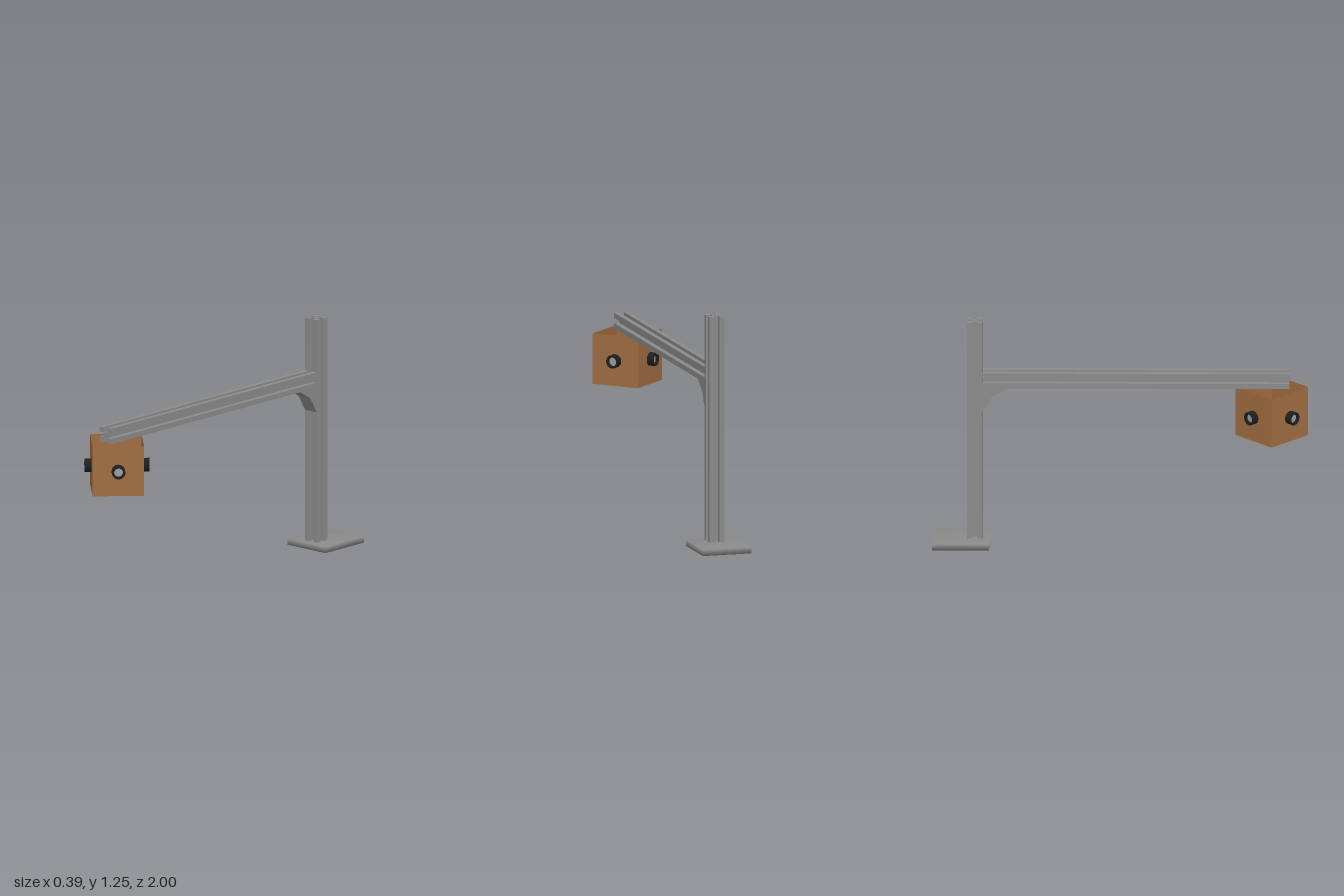
import * as THREE from 'three';
import { mergeVertices } from 'three/addons/utils/BufferGeometryUtils.js';

export function createModel() {
  const model = new THREE.Group();
  model.name = 'cameraStand';
  const material = (name, color, side = THREE.FrontSide) => {
    const m = new THREE.MeshStandardMaterial({ color, side });
    m.name = name;
    return m;
  };
  const metal = material('metal grey', 0x8a8a8a);
  const wood = material('wood brown', 0xa06d42, THREE.DoubleSide);
  const black = material('lens black', 0x1e1e1e);
  const glass = material('glass grey', 0x999c9e, THREE.DoubleSide);

  const add = (parent, name, geometry, mat, x = 0, y = 0, z = 0) => {
    const mesh = new THREE.Mesh(geometry, mat);
    mesh.name = name;
    mesh.position.set(x, y, z);
    parent.add(mesh);
    return mesh;
  };

  // Slotted rail along y: a core bar touching four corner bars
  const W = 0.084, cell = W / 3;
  const slottedRail = (name, length) => {
    const rail = new THREE.Group();
    rail.name = name;
    const bar = new THREE.BoxGeometry(cell, length, cell);
    add(rail, 'coreBar', bar, metal);
    for (const sx of [-1, 1]) {
      for (const sz of [-1, 1]) add(rail, 'cornerBar', bar, metal, sx * cell, 0, sz * cell);
    }
    model.add(rail);
    return rail;
  };

  // Base plate with softly shaded corners
  let plate = new THREE.BoxGeometry(0.27, 0.034, 0.305);
  plate.deleteAttribute('normal');
  plate.deleteAttribute('uv');
  plate = mergeVertices(plate);
  plate.computeVertexNormals();
  add(model, 'basePlate', plate, metal, 0, 0.017, -0.8475);

  // Upright post and horizontal arm
  slottedRail('post', 1.221).position.set(0, 0.6445, -0.772);
  const arm = slottedRail('arm', 1.63);
  arm.rotation.x = Math.PI / 2;
  arm.position.set(0, 0.927, 0.085);

  // Corner brace under the arm, drawn as (z, y) and turned sideways
  const braceShape = new THREE.Shape([
    [-0.73, 0.885], [-0.73, 0.75], [-0.68, 0.835], [-0.6, 0.885],
  ].map(([z, y]) => new THREE.Vector2(-z, y)));
  const braceGeometry = new THREE.ExtrudeGeometry(braceShape, { depth: W, bevelEnabled: false });
  braceGeometry.translate(0, 0, -W / 2);
  braceGeometry.rotateY(Math.PI / 2);
  add(model, 'cornerBrace', braceGeometry, metal);

  // Open box of four thin walls, each holding a lens tube
  const box = new THREE.Group();
  box.name = 'lensBox';
  box.position.set(-0.002, 0.746, 0.807);
  model.add(box);
  const side = 0.273, tubeRadius = 0.036, boreRadius = 0.024, half = 0.036;
  const wallShape = new THREE.Shape([
    new THREE.Vector2(-side / 2, -side / 2), new THREE.Vector2(side / 2, -side / 2),
    new THREE.Vector2(side / 2, side / 2), new THREE.Vector2(-side / 2, side / 2),
  ]);
  wallShape.holes.push(new THREE.Path().absarc(0, 0, tubeRadius - 0.002, 0, Math.PI * 2, true));
  const wallGeometry = new THREE.ShapeGeometry(wallShape, 12);

  const tubeShape = new THREE.Shape().absarc(0, 0, tubeRadius, 0, Math.PI * 2, false);
  tubeShape.holes.push(new THREE.Path().absarc(0, 0, boreRadius, 0, Math.PI * 2, true));
  const tubeGeometry = new THREE.ExtrudeGeometry(tubeShape, {
    depth: half * 2, bevelEnabled: false, curveSegments: 16,
  });
  tubeGeometry.translate(0, 0, -half);
  const glassGeometry = new THREE.CircleGeometry(boreRadius, 24);

  for (let i = 0; i < 4; i++) {
    const face = new THREE.Group();
    face.name = 'boxSide';
    face.rotation.y = Math.PI / 4 + i * Math.PI / 2;
    box.add(face);
    add(face, 'boxWall', wallGeometry, wood, 0, 0, side / 2);
    add(face, 'lensTube', tubeGeometry, black, 0, 0, side / 2);
    add(face, 'lensGlass', glassGeometry, glass, 0, 0, side / 2 + half - 0.014);
  }
  return model;
}
